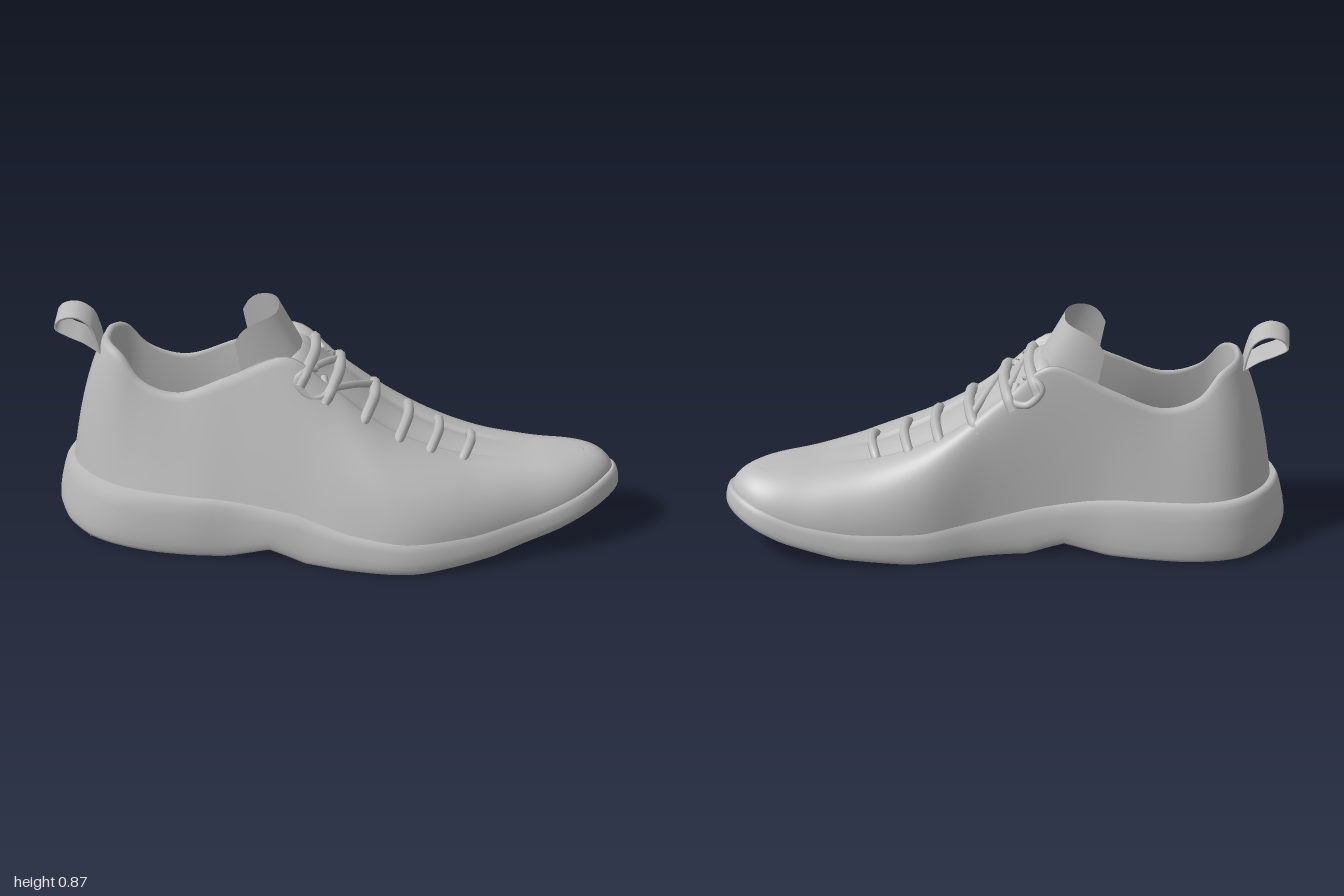
import * as THREE from 'three';

const V = (x, y, z) => new THREE.Vector3(x, y, z);
const N = 156; // samples around the shoe

// linear lookup in a small [x, value] table
function look(table, x) {
  if (x <= table[0][0]) return table[0][1];
  for (let i = 1; i < table.length; i++) {
    const [x0, y0] = table[i - 1], [x1, y1] = table[i];
    if (x <= x1) return y0 + (y1 - y0) * (x - x0) / (x1 - x0);
  }
  return table[table.length - 1][1];
}

// skin a list of rings of points
function skin(rings, closed = true) {
  const n = rings[0].length, pos = [], idx = [];
  rings.forEach(r => r.forEach(p => pos.push(p.x, p.y, p.z)));
  for (let j = 0; j < rings.length - 1; j++) {
    for (let i = 0; i < (closed ? n : n - 1); i++) {
      const a = j * n + i, b = j * n + (i + 1) % n;
      idx.push(a, b, b + n, a, b + n, a + n);
    }
  }
  const g = new THREE.BufferGeometry();
  g.setAttribute('position', new THREE.Float32BufferAttribute(pos, 3));
  g.setIndex(idx);
  g.computeVertexNormals();
  return g;
}

// stations from heel to toe: outline x, left z, right z | rim x, y, half width, centre z | inset, arch left, arch right
const rows = [
  [-0.98, -0.03, -0.03, -0.825, 0.71, 0.00, -0.04, 0.74, 0.5, 0.5],
  [-0.94, 0.10, -0.17, -0.81, 0.715, 0.07, -0.04, 0.78, 0.4, 0.4],
  [-0.84, 0.20, -0.265, -0.76, 0.69, 0.115, -0.04, 0.83, 0.15, 0.2],
  [-0.70, 0.255, -0.295, -0.68, 0.60, 0.14, -0.04, 0.86, 0, 0.2],
  [-0.50, 0.275, -0.275, -0.54, 0.567, 0.15, -0.04, 0.87, 0, 0.3],
  [-0.30, 0.265, -0.235, -0.36, 0.64, 0.145, -0.045, 0.90, 0, 0.4],
  [-0.10, 0.28, -0.23, -0.16, 0.735, 0.13, -0.045, 0.92, 0.1, 0.5],
  [0.10, 0.32, -0.255, 0.0, 0.615, 0.12, -0.045, 0.94, 0.35, 0.75],
  [0.30, 0.325, -0.315, 0.2, 0.457, 0.11, -0.045, 0.95, 0.7, 1],
  [0.50, 0.255, -0.335, 0.42, 0.36, 0.09, -0.06, 0.95, 1, 1],
  [0.70, 0.14, -0.33, 0.62, 0.322, 0.07, -0.08, 0.95, 1, 1],
  [0.87, 0.05, -0.30, 0.77, 0.315, 0.05, -0.11, 0.93, 1, 1],
  [0.96, -0.04, -0.235, 0.85, 0.31, 0.03, -0.13, 0.91, 1, 1],
  [1.0, -0.14, -0.14, 0.88, 0.307, 0.0, -0.13, 0.9, 1, 1],
];
const soleTop = [[-1, 0.24], [-0.4, 0.225], [-0.1, 0.19], [0.1, 0.155], [0.3, 0.135],
  [0.55, 0.14], [0.75, 0.17], [0.9, 0.215], [1, 0.25]];
const soleBottom = [[-1, 0.075], [-0.93, 0.03], [-0.85, 0.015], [-0.6, 0.006], [-0.35, 0.006], [-0.27, 0.025],
  [-0.2, 0.045], [-0.14, 0.028], [-0.07, 0.006], [0.35, 0.006], [0.6, 0.035], [0.8, 0.088], [1, 0.165]];
const throat = rows.slice(6).map(r => [r[3], r[4]]);

// closed loop: left side heel to toe, then right side back to the heel
function loop(fn) {
  const last = rows.length - 1;
  const pts = rows.map((r, i) => fn(r, 1, i));
  for (let i = last - 1; i > 0; i--) pts.push(fn(rows[i], -1, i));
  const c = new THREE.CatmullRomCurve3(pts, true, 'catmullrom', 0.5);
  return Array.from({ length: N }, (_, i) => c.getPoint(i / N));
}
const outline = loop((r, s) => V(r[0], 0, s > 0 ? r[1] : r[2]));
const centre = loop(r => V(r[0] * 0.8, 0, (r[1] + r[2]) / 2));

function soleGeometry() {
  // [share of outline, share of height]; the heel leans inwards towards its top
  const profile = [[0, 0], [0.5, 0], [0.85, 0], [0.96, 0], [0.985, 0.06], [1, 0.2], [1, 0.4], [0.98, 0.7],
    [0.95, 0.9], [0.9, 1], [0.6, 0.95], [0, 0.9]];
  return skin(profile.map(([f, h]) => outline.map((p, i) => {
    const heel = THREE.MathUtils.smoothstep(-p.x, 0.7, 0.98);
    const q = centre[i].clone().lerp(p, f * (1 - 0.09 * heel * h));
    const b = look(soleBottom, q.x);
    q.y = b + (look(soleTop, q.x) - b) * h;
    return q;
  })));
}

function upperGeometry() {
  const shape = loop((r, s) => V(r[7], s > 0 ? r[8] : r[9], 0));
  const base = outline.map((p, i) => {
    const q = centre[i].clone().lerp(p, shape[i].x);
    q.y = look(soleTop, q.x) - 0.02;
    return q;
  });
  const rim = loop((r, s) => V(r[3], r[4], r[6] + s * r[5]));
  const rings = [];
  for (let j = 0; j <= 16; j++) {
    const v = j / 16, a = 1 - Math.cos(v * Math.PI / 2), b = Math.sin(v * Math.PI / 2);
    rings.push(base.map((p, i) => {
      const k = THREE.MathUtils.clamp(shape[i].y, 0, 1), q = rim[i];
      const h = v + (a - v) * k, y = v + (b - v) * k;
      return V(p.x + (q.x - p.x) * h, p.y + (q.y - p.y) * y, p.z + (q.z - p.z) * h);
    }));
  }
  // collar lip, then lining widening down to the insole at the back
  const lip = (w, lift) => (r, s) => V(r[3] + (-0.5 - r[3]) * (1 - w) * 0.5, r[4] + lift, r[6] + s * r[5] * w);
  const insole = (w, y) => (r, s, i) => V(i === 5 ? -0.24 : r[0] * 0.87,
    y, -0.02 + ((s > 0 ? r[1] : r[2]) + 0.02) * w * (i === 5 ? 0.62 : 0.72));
  const lining = (r, s, i) => lip(0.84, -0.03)(r, s).lerp(insole(1, 0.23)(r, s, i), 0.45);
  const back = [lip(0.93, 0.008), lip(0.84, -0.005), lining, insole(1, 0.23), insole(0.5, 0.215), insole(0, 0.215)];
  // throat bed and toe top at the front (width, lift)
  const front = [[0.92, 0], [0.84, -0.008], [0.7, -0.008], [0.5, 0], [0.25, 0.005], [0, 0.006]];
  back.forEach((point, n) => rings.push(loop((r, s, i) => {
    if (i < 6) return point(r, s, i);
    const [w, lift] = front[n];
    const bed = i === 6 && n > 0 ? -0.03 : lift;
    return V(r[3], r[4] + (i < 10 ? bed : 0.002 * (1 - w)), r[6] + s * r[5] * w);
  })));
  return skin(rings);
}

// tongue: a curled flap standing out of the collar
function tongueGeometry() {
  const rings = [];
  for (let j = 0; j <= 10; j++) {
    const v = j / 10, ring = [];
    for (let i = 0; i <= 24; i++) {
      const f = (i / 12 - 1) * 1.6, s = Math.sin(f);
      const back = 1 - Math.cos(f);
      const top = 0.872 - 0.05 * back * back - 0.03 * back ** 8, y = 0.6 + (top - 0.6) * v;
      const x = -0.05 - 0.15 * v - back * (0.25 - 0.11 * v);
      ring.push(V(x, y, -0.04 + 0.12 * Math.sign(s) * Math.pow(Math.abs(s), 0.75)));
    }
    rings.push(ring);
  }
  return skin(rings, false);
}

// heel pull: a thin ribbon bent into a loop
function pullGeometry() {
  const path = new THREE.CatmullRomCurve3([[-0.83, 0.67], [-0.845, 0.73], [-0.87, 0.785], [-0.925, 0.815],
    [-0.98, 0.8], [-0.997, 0.765], [-0.95, 0.735], [-0.89, 0.71], [-0.83, 0.67]].map(p => V(p[0], p[1], 0))).getPoints(40);
  const middle = V(-0.925, 0.765, 0);
  return skin([[0.03, 0], [-0.09, 0], [-0.09, 0.12], [0.03, 0.12], [0.03, 0]].map(([z, t]) => path.map(p => {
    const q = p.clone().lerp(middle, t);
    return V(q.x, q.y, z);
  })), false);
}

export function createModel() {
  const shoe = new THREE.Group();
  shoe.name = 'shoe';
  const grey = new THREE.MeshStandardMaterial({ color: 0xbcbcbc, side: THREE.DoubleSide });
  grey.name = 'plain grey';
  const add = (name, geometry, parent = shoe) => {
    const m = new THREE.Mesh(geometry, grey);
    m.name = name;
    parent.add(m);
  };
  const group = name => {
    const g = new THREE.Group();
    g.name = name;
    shoe.add(g);
    return g;
  };

  add('sole', soleGeometry());
  add('upper', upperGeometry());
  add('tongue', tongueGeometry());
  add('heelPull', pullGeometry());

  // tread lugs following the underside
  const tread = group('tread');
  for (let x = -0.8; x < 0.85; x += 0.125) {
    if (x > -0.35 && x < -0.06) continue;
    const left = look(rows.map(r => [r[0], r[1]]), x + 0.05) - 0.05;
    const right = look(rows.map(r => [r[0], r[2]]), x) + 0.05;
    const w = (left - right) / 3;
    for (let k = 0; k < 3; k++) {
      const g = new THREE.BoxGeometry(0.1, 0.012, w - 0.02, 4, 1, 1);
      g.translate(x, 0, right + w * (k + 0.5));
      const p = g.attributes.position;
      for (let i = 0; i < p.count; i++) p.setY(i, p.getY(i) + look(soleBottom, p.getX(i)));
      g.computeVertexNormals();
      add('lug', g, tread);
    }
  }

  // laces: bars over the throat, with crossings between the upper ones
  const laces = group('laces');
  const cord = (name, pts, r) => add(name,
    new THREE.TubeGeometry(new THREE.CatmullRomCurve3(pts), 32, r, 8), laces);
  const at = (x, lift, z) => V(x, look(throat, x) + lift, -0.045 + z);
  const bars = [[-0.08, 0.155], [0.01, 0.155], [0.135, 0.15], [0.255, 0.145], [0.365, 0.13], [0.48, 0.105]];
  bars.forEach(([x, w], i) => {
    const r = 0.022 - i * 0.001;
    cord('laceBar', [at(x - 0.03, -0.06, w), at(x - 0.012, -0.01, w * 0.85), at(x, 0.014, w * 0.45), at(x + 0.005, 0.018, 0),
      at(x, 0.014, -w * 0.45), at(x - 0.012, -0.01, -w * 0.85), at(x - 0.03, -0.06, -w)], r);
    if (i < 2) {
      const [x2, w2] = bars[i + 1];
      cord('laceCrossing', [at(x, 0.005, w * 0.7), at((x + x2) / 2, 0.01, 0), at(x2, 0.005, -w2 * 0.7)], 0.014);
    }
  });
  // loose side loops of the bow
  for (const s of [1, -1]) {
    cord('bowLoop', [at(-0.06, 0.01, s * 0.08), at(-0.1, -0.01, s * 0.135), at(-0.12, -0.05, s * 0.152),
      at(-0.07, -0.07, s * 0.16), at(-0.02, -0.03, s * 0.14), at(-0.03, 0.0, s * 0.08)], 0.014);
  }
  return shoe;
}
